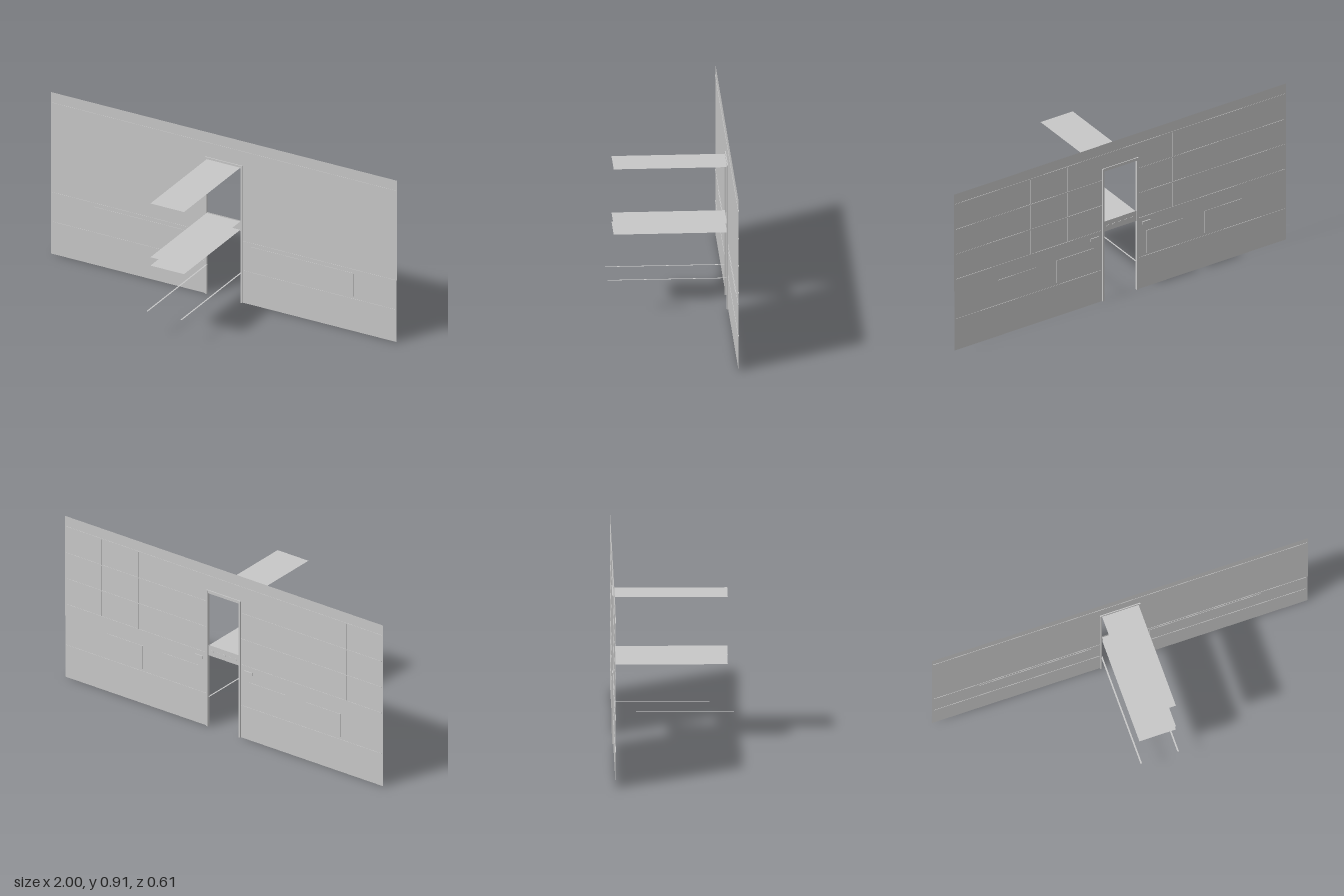
import * as THREE from 'three';

const grey = new THREE.MeshStandardMaterial({ color: 0xc7c7c7, side: THREE.DoubleSide });
grey.name = 'light grey';
const WALL_Z = -0.3;

export function createModel() {
  const model = new THREE.Group();
  model.name = 'partitionWall';

  function add(name, geometry, x = 0, y = 0, z = 0) {
    const mesh = new THREE.Mesh(geometry, grey);
    mesh.name = name;
    mesh.position.set(x, y, z);
    model.add(mesh);
  }
  const box = (name, w, h, d, x, y, z) => add(name, new THREE.BoxGeometry(w, h, d), x, y, z);
  function sheet(name, w, d, x, y, z) {
    add(name, new THREE.PlaneGeometry(w, d).rotateX(-Math.PI / 2), x, y, z);
  }

  // Paper-thin wall with a doorway open to the floor
  const wall = new THREE.Shape([
    [-1, 0], [-0.1, 0], [-0.1, 0.752], [0.1, 0.752], [0.1, 0], [0.996, 0],
    [0.996, 0.345], [1, 0.345], [1, 0.907], [-1, 0.907],
  ].map(([x, y]) => new THREE.Vector2(x, y)));
  add('wall', new THREE.ShapeGeometry(wall), 0, 0, WALL_Z);

  // Seams across the front and back faces
  const front = WALL_Z + 0.001, back = WALL_Z - 0.001;
  box('frontTopSeam', 1.99, 0.004, 0.002, 0, 0.848, front);
  box('backTopSeam', 1.99, 0.005, 0.002, 0, 0.848, back);
  for (const side of [-1, 1]) {
    for (const y of [0.345, 0.18]) box('frontSeam', 0.88, 0.004, 0.002, side * 0.549, y, front);
    for (const y of [0.7, 0.555, 0.41, 0.18]) box('backSeam', 0.88, 0.005, 0.002, side * 0.549, y, back);
    for (const x of [0.316, 0.54, 0.77]) box('backUpright', 0.004, 0.44, 0.002, side * x, 0.63, back);

    // Shallow panels: one long on the front, two short on the back
    box('frontPanel', 0.595, 0.13, 0.002, side * 0.4525, 0.26, front);
    for (const x of [0.2725, 0.6225]) box('backPanel', 0.225, 0.13, 0.002, side * x, 0.26, back);

    // Door jamb, small plate beside it and low rail
    box('doorJamb', 0.009, 0.768, 0.014, side * 0.1025, 0.384, WALL_Z);
    box('doorPlate', 0.05, 0.016, 0.005, side * 0.155, 0.378, WALL_Z - 0.0045);
    sheet('lowRail', 0.008, 0.607, side * 0.098, 0.165, 0.0035);
  }
  box('doorHeader', 0.196, 0.016, 0.01, 0, 0.76, WALL_Z);

  // Canopy and the two sheets of the shelf, with small fittings underneath
  for (const y of [0.757, 0.455, 0.408]) sheet('shelfSheet', 0.194, 0.57, 0, y, -0.01);
  for (const y of [0.757, 0.408]) {
    for (const z of [0.18, -0.01, -0.2]) {
      for (const x of [-0.045, 0.045]) box('fitting', 0.014, 0.002, 0.006, x, y - 0.001, z);
    }
  }

  // Upright band closing the back of the shelf, with slots
  add('shelfBand', new THREE.PlaneGeometry(0.196, 0.058), 0, 0.429, WALL_Z);
  for (let i = -2; i <= 2; i++) box('bandSlot', 0.018, 0.006, 0.002, i * 0.036, 0.429, back);

  return model;
}
